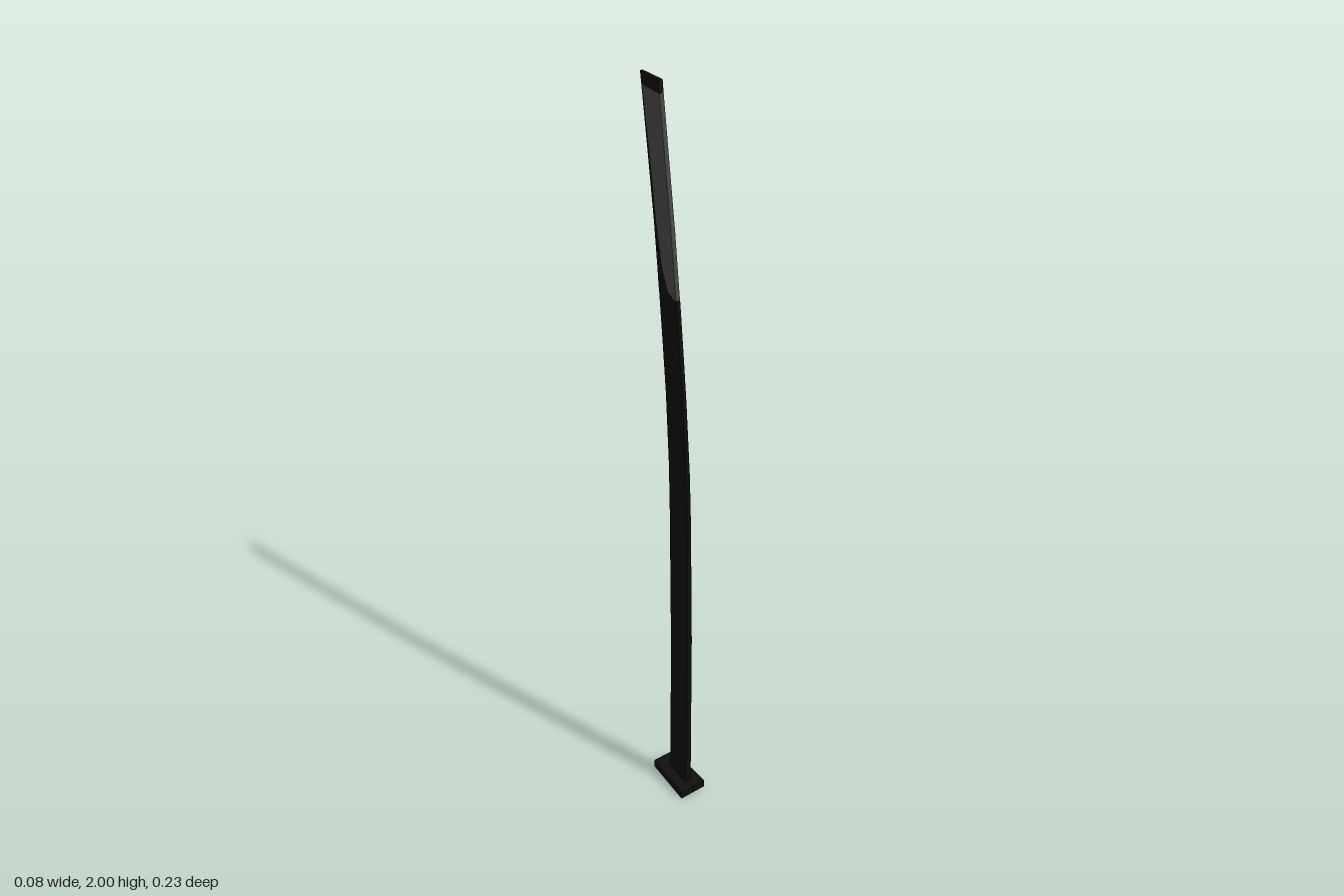
import * as THREE from 'three';

// Side profile: [height, front z, back z, half thickness]
const PROFILE = [
  [0.015, 0.09, 0.013, 0.008], [0.5, 0.092, 0.013, 0.007], [0.86, 0.086, 0.007, 0.006],
  [1.0, 0.08, 0.003, 0.006], [1.2, 0.064, -0.01, 0.006], [1.33, 0.051, -0.023, 0.006],
  [1.47, 0.036, -0.038, 0.006], [1.48, 0.034, -0.04, 0.006], [1.53, 0.028, -0.045, 0.006],
  [1.64, 0.015, -0.058, 0.006], [1.79, -0.006, -0.08, 0.006],
  [1.968, -0.031, -0.107, 0.006], [2.0, -0.035, -0.112, 0.006],
];
// How far back the grey sheath reaches on rows 6 to 11, as a share of the width
const SPLIT = [0.15, 0.45, 0.7, 0.86, 0.88, 0.95];

// The piece is turned slightly about its height
const centreX = (z) => 0.0035 - 0.048 * z;

// Closed flat-sided solid through loops of four corners
function loft(loops) {
  const pos = [];
  const quad = (a, b, c, d) => pos.push(...a, ...b, ...c, ...a, ...c, ...d);
  for (let i = 0; i < loops.length - 1; i++) {
    for (let k = 0; k < 4; k++) {
      const n = (k + 1) % 4;
      quad(loops[i][k], loops[i][n], loops[i + 1][n], loops[i + 1][k]);
    }
  }
  const first = loops[0], last = loops[loops.length - 1];
  quad(first[3], first[2], first[1], first[0]);
  quad(last[0], last[1], last[2], last[3]);
  const g = new THREE.BufferGeometry();
  g.setAttribute('position', new THREE.Float32BufferAttribute(pos, 3));
  g.computeVertexNormals();
  return g;
}

// Cross-section between two shares of the width, thinner towards the back
function section([y, front, back, half], from, to) {
  const at = (t, side) => {
    const z = front + (back - front) * t;
    return [centreX(z) + side * half * (1 - 0.4 * t), y, z];
  };
  return [at(from, -1), at(from, 1), at(to, 1), at(to, -1)];
}

export function createModel() {
  const model = new THREE.Group();
  const black = new THREE.MeshStandardMaterial({ color: 0x0e0d0c });
  black.name = 'black';
  const grey = new THREE.MeshStandardMaterial({ color: 0x464646 });
  grey.name = 'grey';
  const add = (name, geometry, material) => {
    const mesh = new THREE.Mesh(geometry, material);
    mesh.name = name;
    model.add(mesh);
  };

  // Curved body, the grey upper face with its dark spine, and the end cap
  const upper = PROFILE.slice(6, 12);
  add('lowerBody', loft(PROFILE.slice(0, 7).map((r) => section(r, 0, 1))), black);
  add('upperPanel', loft(upper.map((r, i) => section(r, 0, SPLIT[i]))), grey);
  add('upperSpine', loft(upper.map((r, i) => section(r, SPLIT[i], 1))), black);
  add('endCap', loft(PROFILE.slice(11).map((r) => section(r, 0, 1))), black);

  // Slightly tilted base plate
  const corners = [[-0.04, 0.11], [0.035, 0.114], [0.038, -0.026], [-0.025, -0.03]];
  const plate = (lift) => corners.map(([x, z]) =>
    [x, Math.max(0, 0.09 * (0.11 - z) + 0.1 * (x + 0.04)) + lift, z]);
  add('basePlate', loft([plate(0), plate(0.021)]), black);

  // Small inlay on one side near the base
  const rows = [[0.12, 0.066, 0.055], [0.14, 0.076, 0.05], [0.175, 0.074, 0.048], [0.2, 0.07, 0.052]];
  const inlay = rows.map(([y, front, back]) => {
    const x = (z) => centreX(z) + 0.0078 * (1 - 0.4 * (0.09 - z) / 0.077) + 0.0005;
    return [[x(front) - 0.002, y, front], [x(front), y, front], [x(back), y, back], [x(back) - 0.002, y, back]];
  });
  add('sideInlay', loft(inlay), grey);

  return model;
}
